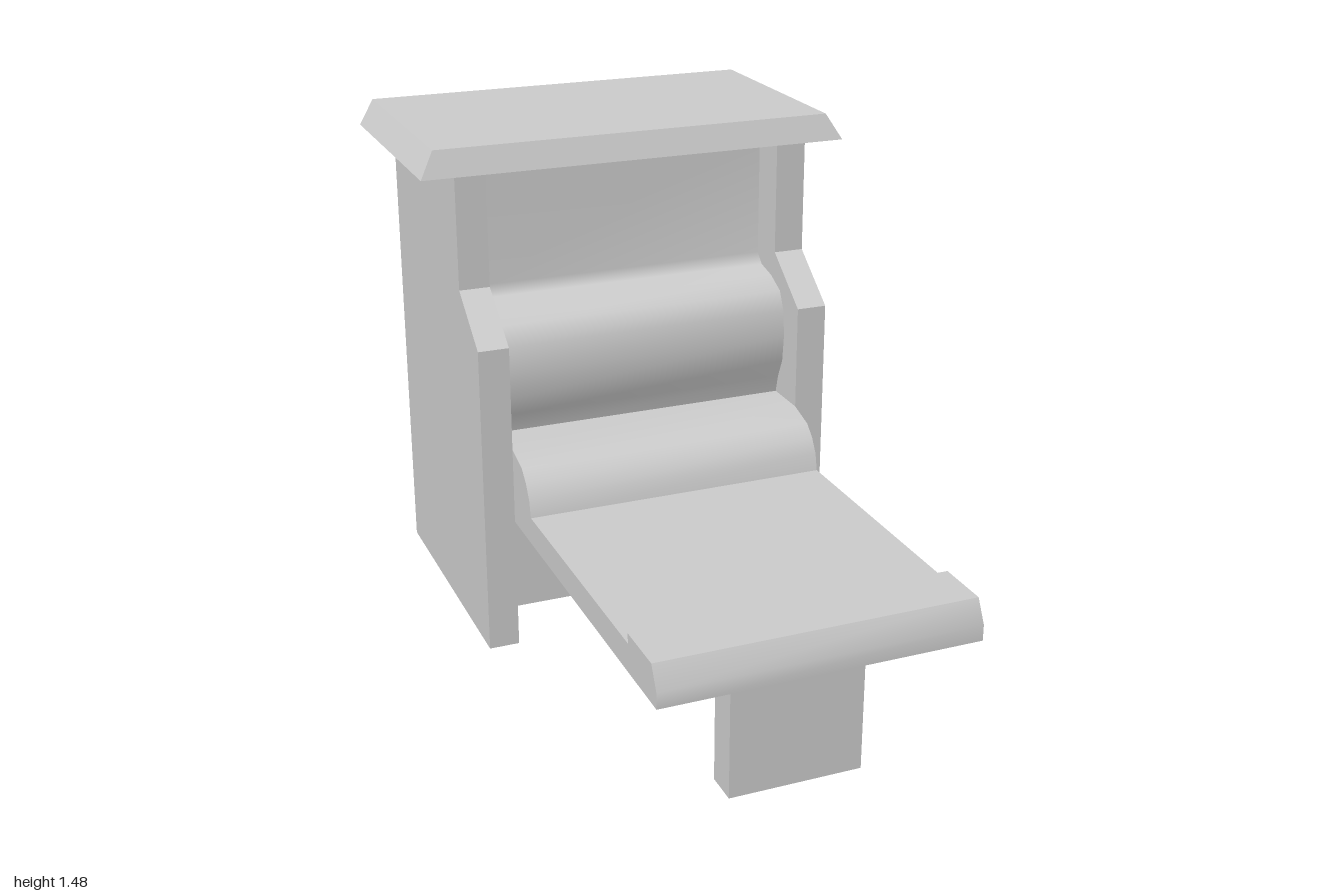
import * as THREE from 'three';
import { toCreasedNormals } from 'three/addons/utils/BufferGeometryUtils.js';

const INNER = 0.446; // half width between the side walls
const OUTER = 0.536; // half width over the side walls
const BACK = -0.98;

export function createModel() {
  const model = new THREE.Group();
  model.name = 'benchCabinet';
  const body = new THREE.Group();
  body.name = 'body';
  // The whole body stands slightly turned
  body.position.x = 0.021;
  body.rotation.y = 0.035;
  model.add(body);

  const solid = new THREE.MeshStandardMaterial({ color: 0xcccccc });
  const thin = new THREE.MeshStandardMaterial({ color: 0xcccccc, side: THREE.DoubleSide });

  function add(name, geometry, material = solid) {
    const mesh = new THREE.Mesh(geometry, material);
    mesh.name = name;
    body.add(mesh);
    return mesh;
  }

  // Side profile of [z, y] points, extruded across x from x0 to x1
  function across(points, x0, x1) {
    const shape = new THREE.Shape(points.map(([z, y]) => new THREE.Vector2(z, y)));
    const g = new THREE.ExtrudeGeometry(shape, { depth: x1 - x0, bevelEnabled: false });
    g.rotateY(-Math.PI / 2);
    g.translate(x1, 0, 0);
    return toCreasedNormals(g, 0.6);
  }

  function box(x0, x1, y0, y1, z0, z1) {
    const g = new THREE.BoxGeometry(x1 - x0, y1 - y0, z1 - z0);
    return g.translate((x0 + x1) / 2, (y0 + y1) / 2, (z0 + z1) / 2);
  }

  // Stepped side walls
  const wall = [[-0.13, 0], [-0.13, 0.935], [-0.298, 1.063], [-0.298, 1.4], [BACK, 1.4], [BACK, 0]];
  add('leftWall', across(wall, INNER, OUTER));
  add('rightWall', across(wall, -OUTER, -INNER));

  // Back panel and the board below the seat
  add('backPanel', box(-INNER, INNER, 0, 1.4, BACK, BACK + 0.01));
  add('kickBoard', box(-INNER, INNER, 0, 0.4, -0.365, -0.355));

  // Seat with a raised front lip and a rounded hump at the rear
  const seat = [
    [-0.355, 0.4], [0.983, 0.4], [0.983, 0.445], [0.95, 0.508], [0.793, 0.508], [0.793, 0.48],
    [0.027, 0.48], [0.015, 0.53], [-0.01, 0.57], [-0.045, 0.602], [-0.13, 0.626], [-0.355, 0.626],
  ];
  add('seat', across(seat, -INNER, INNER));

  // Padded backrest, a bulge below an upright panel
  const rest = [
    [-0.27, 0.62], [-0.255, 0.68], [-0.228, 0.74], [-0.22, 0.82], [-0.228, 0.9], [-0.256, 0.955],
    [-0.32, 0.985], [-0.39, 1.0], [-0.42, 1.03], [-0.42, 1.4],
  ];
  const sheet = new THREE.PlaneGeometry(2 * INNER, 1, 1, rest.length - 1);
  const pos = sheet.attributes.position;
  for (let i = 0; i < pos.count; i++) {
    const [z, y] = rest[rest.length - 1 - Math.floor(i / 2)];
    pos.setY(i, y);
    pos.setZ(i, z);
  }
  sheet.computeVertexNormals();
  add('backrest', sheet, thin);

  // Front leg
  add('frontLeg', box(-0.192, 0.188, 0, 0.4, 0.748, 0.844));

  // Roof slab, sloped on the front and sides and flush at the back
  const roof = box(-0.64, 0.64, 1.4, 1.475, BACK, -0.26);
  const rp = roof.attributes.position;
  for (let i = 0; i < rp.count; i++) {
    if (rp.getY(i) < 1.44) continue;
    rp.setX(i, Math.sign(rp.getX(i)) * 0.597);
    if (rp.getZ(i) > -0.5) rp.setZ(i, -0.288);
  }
  roof.computeVertexNormals();
  add('roof', roof);

  return model;
}
